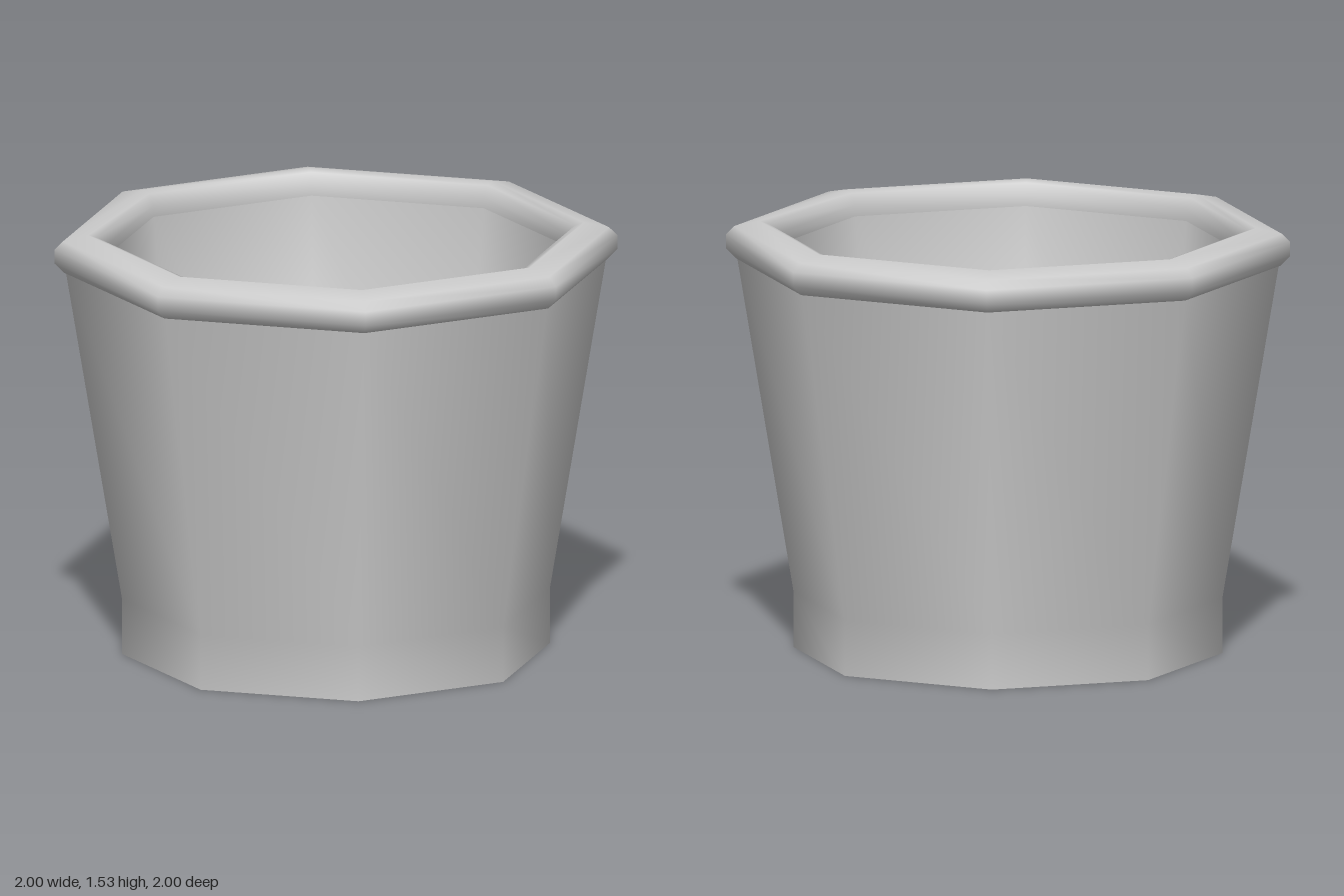
import * as THREE from 'three';

const SIDES = 8;

// Smooth eight-sided ring of surface from [radius, height] points
function lathe(name, profile, material) {
  const points = profile.map(([r, y]) => new THREE.Vector2(r, y));
  const mesh = new THREE.Mesh(new THREE.LatheGeometry(points, SIDES), material);
  mesh.name = name;
  return mesh;
}

export function createModel() {
  const group = new THREE.Group();
  group.name = 'pot';
  const grey = new THREE.MeshStandardMaterial({ color: 0xcccccc, side: THREE.DoubleSide });

  // Recessed underside, foot edge, straight foot and flaring wall
  group.add(lathe('underside', [[0, 0.11], [0.66, 0.11], [0.70, 0], [0.76, 0]], grey));
  group.add(lathe('outerWall', [[0.76, 0], [0.76, 0.2], [0.96, 1.4]], grey));

  // Rounded rim rolled over the top edge
  group.add(lathe('rim', [
    [0.95, 1.39], [0.965, 1.395], [1, 1.43], [1, 1.48], [0.97, 1.51],
    [0.88, 1.53], [0.85, 1.52], [0.83, 1.48], [0.83, 1.44],
  ], grey));

  // Tapered inner wall and floor
  group.add(lathe('inside', [[0.83, 1.44], [0.68, 0.2], [0, 0.2]], grey));

  return group;
}
